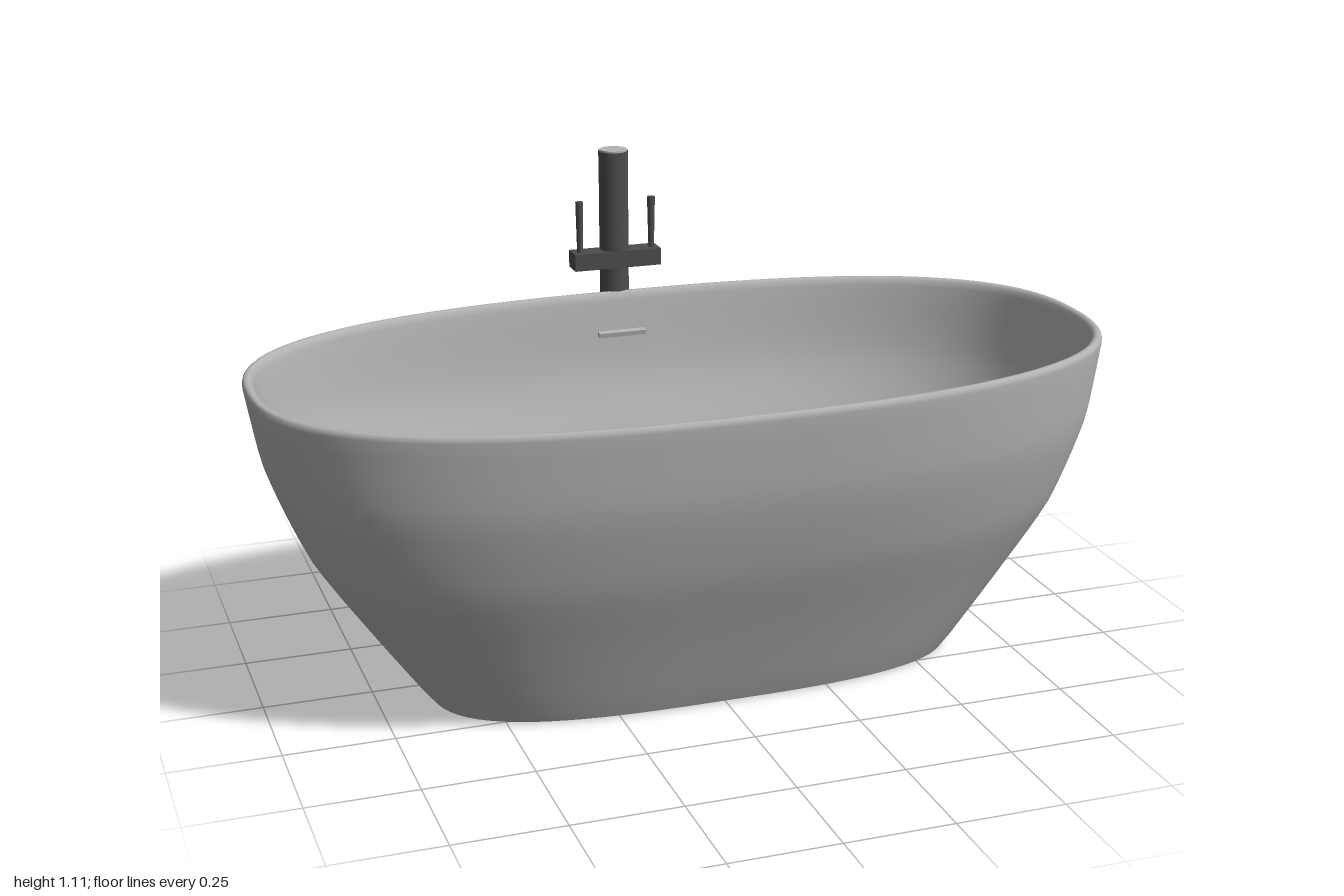
import * as THREE from 'three';

const HEIGHT = 0.76;
// Outer wall at five equal heights: half length, back z, front z
const wall = new THREE.CatmullRomCurve3([
  [0.63, -0.24, 0.315], [0.765, -0.325, 0.39], [0.89, -0.408, 0.468],
  [0.965, -0.472, 0.522], [1.0, -0.49, 0.545],
].map((p) => new THREE.Vector3(...p)));

// Rounded-oval cross-section of the tub at height y, shrunk by inset
function section(y, inset = 0) {
  const t = y / HEIGHT, p = wall.getPoint(t);
  return { a: p.x - inset, b: (p.z - p.y) / 2 - inset, c: (p.z + p.y) / 2, n: 3 - 0.5 * t };
}

function ring(y, inset = 0, scale = 1, drawY = y) {
  const { a, b, c, n } = section(y, inset), pts = [];
  const power = (v) => Math.sign(v) * Math.abs(v) ** (2 / n);
  for (let i = 0; i < 96; i++) {
    const t = (i / 96) * Math.PI * 2;
    pts.push([a * scale * power(Math.cos(t)), drawY, c + b * scale * power(Math.sin(t))]);
  }
  return pts;
}

// z of the outer wall at (x, y); side is -1 for the back, 1 for the front
function wallZ(x, y, side) {
  const { a, b, c, n } = section(y);
  return c + side * b * Math.max(0, 1 - Math.abs(x / a) ** n) ** (1 / n);
}

// Smooth skin over rows of points, closed into a loop or open
function skin(rows, closed) {
  const m = rows[0].length, index = [];
  for (let i = 0; i < rows.length - 1; i++) {
    for (let j = 0; j < (closed ? m : m - 1); j++) {
      const k = (j + 1) % m, p = i * m, q = p + m;
      index.push(p + j, q + j, p + k, p + k, q + j, q + k);
    }
  }
  const g = new THREE.BufferGeometry();
  g.setAttribute('position', new THREE.Float32BufferAttribute(rows.flat(2), 3));
  g.setIndex(index);
  g.computeVertexNormals();
  return g;
}

// Side profile of [z, y] points, extruded to a width centred on x = 0
function bracket(points, width) {
  const shape = new THREE.Shape(points.map((p) => new THREE.Vector2(...p)));
  const g = new THREE.ExtrudeGeometry(shape, { depth: width, bevelEnabled: false });
  return g.rotateY(-Math.PI / 2).translate(width / 2, 0, 0);
}

// Plate lying on the back wall; spans are [y, x min, x max]
function backPlate(spans) {
  const rows = [];
  for (let s = 0; s < spans.length - 1; s++) {
    for (let k = 0; k < 6; k++) {
      const [y, lo, hi] = spans[s].map((v, i) => THREE.MathUtils.lerp(v, spans[s + 1][i], k / 5));
      rows.push(Array.from({ length: 25 }, (_, j) => {
        const x = lo + ((hi - lo) * j) / 24;
        return [x, y, wallZ(x, y, -1) - 0.006];
      }));
    }
  }
  return skin(rows, false);
}

export function createModel() {
  const model = new THREE.Group();
  const light = new THREE.MeshStandardMaterial({ color: 0xb4b4b4 });
  light.name = 'pale grey enamel';
  const dark = new THREE.MeshStandardMaterial({ color: 0x4d4d4d });
  dark.name = 'dark grey metal';
  const add = (name, geometry, material, x = 0, y = 0, z = 0) => {
    const mesh = new THREE.Mesh(geometry, material);
    mesh.name = name;
    mesh.position.set(x, y, z);
    model.add(mesh);
    return mesh;
  };

  // Tub: outside, rounded rim and inside as one skin
  const shell = [ring(0, 0, 1, 0.004)];
  for (let i = 1; i <= 20; i++) shell.push(ring((0.745 * i) / 20));
  shell.push(ring(0.755, 0.003), ring(0.76, 0.009), ring(0.76, 0.017), ring(0.754, 0.023));
  for (let i = 0; i <= 18; i++) {
    const t = i / 18;
    shell.push(ring(0.74 - 0.69 * t, 0.025 + 0.02 * t));
  }
  add('tubShell', skin(shell, true), light);
  add('tubFloor', skin([ring(0.05, 0.045), ring(0.05, 0.045, 0.5), ring(0.05, 0.045, 0.001)], true), light);
  add('tubBase', skin([ring(0, 0, 0.001, 0.004), ring(0, 0, 0.5, 0.004), ring(0, 0, 1, 0.004)], true), light);
  add('drain', new THREE.CylinderGeometry(0.03, 0.03, 0.008, 32), dark, 0, 0.053, 0);
  const overflow = add('overflow', new THREE.BoxGeometry(0.12, 0.012, 0.02), light, 0, 0.66, -0.452);
  overflow.rotation.x = 0.2;

  // Dark area on the back wall, ending in two horns
  add('backPanel', backPlate([
    [0.004, -0.47, 0.23], [0.14, -0.34, 0.15], [0.25, -0.24, 0.09],
    [0.35, -0.165, 0.06], [0.45, -0.11, 0.06], [0.57, -0.1, 0.08],
  ]), dark);
  for (const s of [-1, 1]) {
    const span = (y, mid, half) => [y, s * mid - half, s * mid + half];
    add('backHorn', backPlate([span(0.57, 0.065, 0.03), span(0.64, 0.07, 0.014), span(0.7, 0.075, 0.006)]), dark);
    add('backLug', new THREE.BoxGeometry(0.045, 0.02, 0.065), dark, s * 0.1, 0.51, -0.478);
  }

  // Dark area under the base
  const under = [];
  for (let i = 0; i <= 8; i++) {
    under.push(Array.from({ length: 41 }, (_, j) => {
      const x = -0.628 + (1.09 * j) / 40;
      const back = wallZ(x, 0, -1);
      const edge = 0.23 - 0.75 * Math.max(0, x + 0.35) ** 2.5;
      const front = Math.max(back, Math.min(edge, wallZ(x, 0, 1)));
      return [x, 0, front + ((back - front) * i) / 8];
    }));
  }
  add('basePanel', skin(under, false), dark);

  // Standing tap: pole, pale cap, collar and foot
  const z = -0.508;
  add('pole', new THREE.CylinderGeometry(0.036, 0.036, 1.1, 32), dark, 0, 0.55, z);
  add('poleTopRim', new THREE.CylinderGeometry(0.037, 0.037, 0.012, 32), dark, 0, 1.1, z);
  add('poleCap', new THREE.CylinderGeometry(0.034, 0.034, 0.006, 32), light, 0, 1.107, z);
  add('poleSleeve', new THREE.CylinderGeometry(0.037, 0.037, 0.3, 32), dark, 0, 0.25, z);
  const collar = new THREE.CylinderGeometry(0.04 * Math.SQRT2, 0.052 * Math.SQRT2, 0.12, 4)
    .toNonIndexed().rotateY(Math.PI / 4).scale(1, 1, 0.74);
  collar.computeVertexNormals();
  add('poleFoot', collar, dark, 0, 0.06, z);
  add('footBar', bracket([
    [-0.5, 0], [-0.22, 0], [-0.25, 0.052], [-0.36, 0.058], [-0.42, 0.078], [-0.47, 0.11], [-0.5, 0.11],
  ], 0.06), dark);
  add('wallBracket', bracket([
    [-0.49, 0.305], [-0.365, 0.305], [-0.395, 0.385], [-0.45, 0.385], [-0.475, 0.4], [-0.49, 0.4],
  ], 0.05), dark);

  // Crossbar and the pair of handles
  add('crossbar', new THREE.BoxGeometry(0.22, 0.042, 0.055), dark, 0, 0.84, -0.5);
  for (const s of [-1, 1]) {
    add('handle', new THREE.CylinderGeometry(0.01, 0.007, 0.13, 12), dark, s * 0.092, 0.923, -0.494);
  }
  return model;
}
